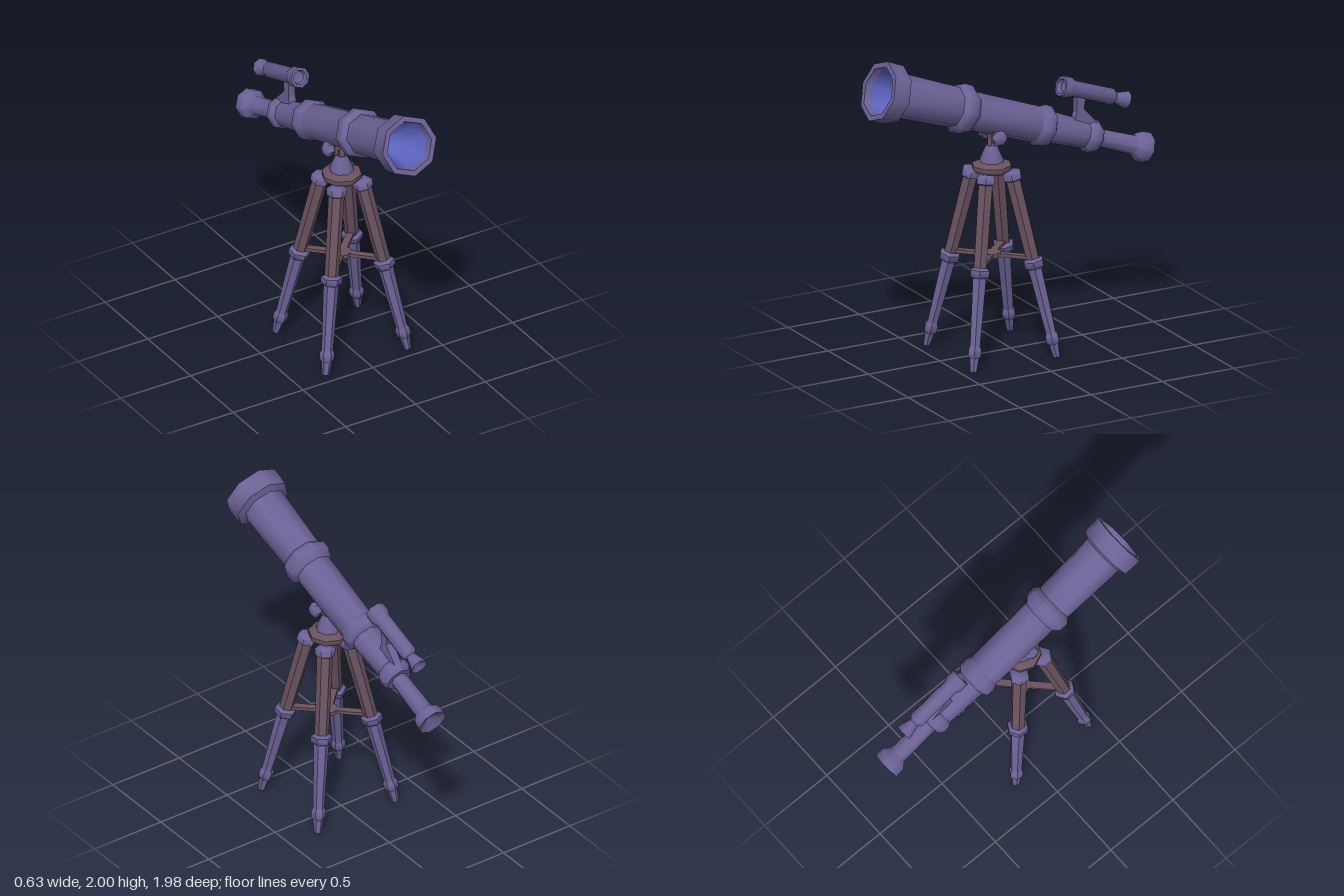
import * as THREE from 'three';
import { toCreasedNormals } from 'three/addons/utils/BufferGeometryUtils.js';

const mat = (name, color) => {
  const m = new THREE.MeshStandardMaterial({ color });
  m.name = name;
  return m;
};

export function createModel() {
  const purple = mat('purple metal', 0x6c6296);
  const brown = mat('brown wood', 0x6a5360);
  const blue = mat('blue glass', 0x5c64c0);
  const model = new THREE.Group();
  model.name = 'telescope';

  const add = (parent, name, geometry, material, x = 0, y = 0, z = 0) => {
    const mesh = new THREE.Mesh(geometry, material);
    mesh.name = name;
    mesh.position.set(x, y, z);
    parent.add(mesh);
    return mesh;
  };
  // Turned part: [radius, height] pairs from bottom to top, smooth around
  const turned = (points, sides = 8) => toCreasedNormals(
    new THREE.LatheGeometry(points.map(([r, h]) => new THREE.Vector2(r, h)), sides), 0.9);
  const group = (name, y, z) => {
    const g = new THREE.Group();
    g.name = name;
    g.position.set(0, y, z);
    g.rotation.x = THREE.MathUtils.degToRad(70); // local y runs along the tube
    model.add(g);
    return g;
  };

  // Main tube, from the eyepiece to the front
  const tube = group('mainTube', 1.135, -0.95);
  add(tube, 'eyepiece', turned([
    [0, 0.05], [0.07, 0.01], [0.097, 0], [0.094, 0.06], [0.06, 0.1], [0.055, 0.4],
  ]), purple);
  add(tube, 'focuserRing', turned([
    [0, 0.37], [0.085, 0.37], [0.105, 0.4], [0.105, 0.44], [0.085, 0.47],
  ]), purple);
  add(tube, 'rearTube', turned([[0.085, 0.45], [0.102, 0.77]]), purple);
  add(tube, 'rearRing', turned([
    [0.1, 0.73], [0.13, 0.75], [0.133, 0.8], [0.115, 0.84],
  ]), purple);
  add(tube, 'middleTube', turned([[0.115, 0.82], [0.123, 1.35]]), purple);
  add(tube, 'middleRing', turned([
    [0.12, 1.31], [0.156, 1.35], [0.158, 1.41], [0.128, 1.44],
  ]), purple);
  add(tube, 'frontTube', turned([[0.128, 1.42], [0.143, 1.9]]), purple);
  add(tube, 'frontHood', turned([
    [0.14, 1.86], [0.188, 1.88], [0.193, 2], [0.158, 2], [0.15, 1.96],
  ]), purple);
  add(tube, 'lens', turned([[0.15, 1.96], [0.07, 1.68], [0, 1.62]]), blue);

  // Finder scope above the rear tube
  const finder = group('finderScope', 1.468, -0.81);
  add(finder, 'finderBody', turned([
    [0, 0.03], [0.04, 0.01], [0.057, 0], [0.032, 0.09], [0.052, 0.11], [0.052, 0.4],
    [0.066, 0.43], [0.066, 0.488], [0.048, 0.488], [0.04, 0.46], [0, 0.45],
  ]), purple);

  // Finder bracket: a fin that widens towards the tube
  const fin = new THREE.Shape([
    [0.45, 1.56], [0.51, 1.54], [0.5, 1.47], [0.6, 1.36], [0.6, 1.3], [0.42, 1.36], [0.45, 1.45],
  ].map(([z, y]) => new THREE.Vector2(z, y)));
  const finGeo = new THREE.ExtrudeGeometry(fin, { depth: 0.05, bevelEnabled: false });
  finGeo.rotateY(Math.PI / 2);
  add(model, 'finderBracket', finGeo, purple, -0.025);

  // Mount: hub plate, cone, neck, yoke and clamp knobs
  const mount = new THREE.Group();
  mount.name = 'mount';
  mount.position.z = 0.135;
  model.add(mount);
  add(mount, 'hubPlate', turned([
    [0, 1.17], [0.11, 1.17], [0.125, 1.19], [0.125, 1.215], [0.08, 1.235], [0, 1.235],
  ]), brown);
  add(mount, 'hubCone', turned([
    [0.078, 1.225], [0.075, 1.25], [0.035, 1.34], [0, 1.34],
  ]), purple);
  add(mount, 'neck', turned([[0.03, 1.32], [0.03, 1.42], [0, 1.42]], 6), brown);
  const bar = add(mount, 'yokeBar', new THREE.CylinderGeometry(0.026, 0.026, 0.2, 6), brown, 0, 1.405);
  bar.rotation.z = Math.PI / 2;
  for (const side of [-1, 1]) {
    const knob = add(mount, 'clampKnob', turned([
      [0, 0], [0.036, 0], [0.048, 0.02], [0.048, 0.045], [0.03, 0.06], [0, 0.06],
    ], 6), purple, side * 0.07, 1.41);
    knob.rotation.z = -side * Math.PI / 2;
    add(mount, 'yokeCheek', new THREE.BoxGeometry(0.025, 0.12, 0.06), brown, side * 0.055, 1.43);
  }

  // Four splayed legs with collars, feet and a cross brace
  const up = new THREE.Vector3(0, 1, 0);
  const legGeo = points => turned(points.map(([r, h]) => [r, h * 1.03]), 6);
  const parts = [
    ['foot', brown, [[0, 0.006], [0.022, 0.006], [0.036, 0.11]]],
    ['footCollar', purple, [[0.03, 0.085], [0.044, 0.1], [0.046, 0.14], [0.036, 0.16]]],
    ['lowerLeg', purple, [[0.035, 0.14], [0.048, 0.59]]],
    ['kneeCollar', purple, [[0.045, 0.565], [0.066, 0.58], [0.068, 0.615], [0.045, 0.63]]],
    ['upperLeg', brown, [[0.044, 0.61], [0.05, 1.15]]],
    ['topCollar', purple, [[0.045, 1.12], [0.062, 1.13], [0.064, 1.17], [0.045, 1.185], [0, 1.185]]],
  ].map(([name, material, points]) => [name, material, legGeo(points)]);
  parts[0][1] = purple;

  for (const sx of [-1, 1]) for (const sz of [-1, 1]) {
    const leg = new THREE.Group();
    leg.name = 'leg';
    leg.position.set(sx * 0.294, 0, sz * 0.294);
    leg.quaternion.setFromUnitVectors(up, new THREE.Vector3(-sx * 0.175, 1, -sz * 0.175).normalize());
    for (const [name, material, geo] of parts) add(leg, name, geo, material);
    mount.add(leg);
    const brace = add(mount, 'brace', new THREE.BoxGeometry(0.045, 0.022, 0.25), brown, sx * 0.09, 0.635, sz * 0.09);
    brace.rotation.y = Math.atan2(sx, sz);
  }
  add(mount, 'braceHub', new THREE.CylinderGeometry(0.06, 0.06, 0.026, 8), brown, 0, 0.635);

  return model;
}
